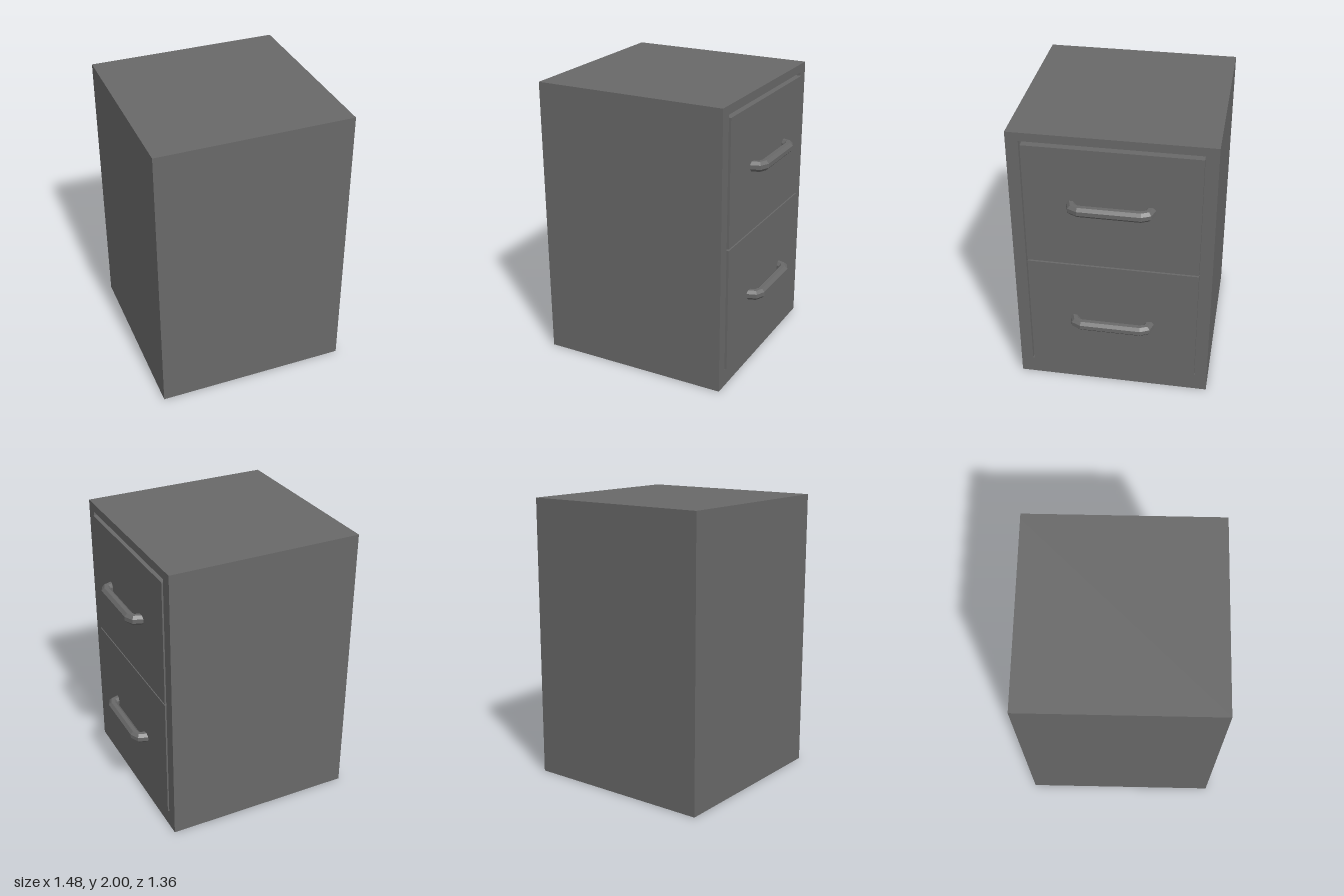
import * as THREE from 'three';

const FACE = 0.62;      // cabinet face that holds the drawers (+x)
const RECESS = 0.58;    // back of the drawer opening

// Box given by its minimum and maximum corners
function box(name, min, max, material) {
  const size = max.map((v, i) => v - min[i]);
  const mesh = new THREE.Mesh(new THREE.BoxGeometry(...size), material);
  mesh.position.set(...max.map((v, i) => (v + min[i]) / 2));
  mesh.name = name;
  return mesh;
}

// Eight-sided bar swept through rings given as outer and inner [x, z] points
function handleGeometry() {
  const half = [
    [0.637, 0.295, 0.645, 0.226],
    [0.705, 0.273, 0.662, 0.22],
    [0.735, 0.21, 0.668, 0.2],
  ];
  const rings = [...half, ...half.map(([a, b, c, d]) => [a, -b, c, -d]).reverse()];
  const sides = 8;
  const k = 1 / Math.cos(Math.PI / sides);
  const point = (r, i) => {
    const [ox, oz, ix, iz] = rings[r];
    const a = ((i + 0.5) / sides) * Math.PI * 2;
    const c = (Math.cos(a) * k) / 2;
    return [(ox + ix) / 2 + c * (ox - ix), Math.sin(a) * k * 0.035, (oz + iz) / 2 + c * (oz - iz)];
  };
  const positions = [];
  const tri = (...points) => points.forEach((p) => positions.push(...p));
  const last = rings.length - 1;
  for (let i = 0; i < sides; i++) {
    for (let r = 0; r < last; r++) {
      const a = point(r, i), b = point(r, i + 1), c = point(r + 1, i + 1), d = point(r + 1, i);
      tri(a, c, b);
      tri(a, d, c);
    }
    // End caps
    if (i > 0 && i < sides - 1) {
      tri(point(0, 0), point(0, i), point(0, i + 1));
      tri(point(last, 0), point(last, i + 1), point(last, i));
    }
  }
  const geometry = new THREE.BufferGeometry();
  geometry.setAttribute('position', new THREE.Float32BufferAttribute(positions, 3));
  geometry.computeVertexNormals();
  return geometry;
}

export function createModel() {
  const model = new THREE.Group();
  model.name = 'drawerCabinet';
  const grey = new THREE.MeshStandardMaterial({ color: 0x686868 });
  grey.name = 'grey';

  // Cabinet body behind the opening
  const cabinet = new THREE.Group();
  cabinet.name = 'cabinet';
  cabinet.add(box('body', [-0.74, 0, -0.68], [RECESS, 2, 0.68], grey));

  // Face frame with the opening cut out; shape x becomes -z
  const shape = new THREE.Shape();
  shape.moveTo(-0.68, 0).lineTo(0.68, 0).lineTo(0.68, 2).lineTo(-0.68, 2).closePath();
  const opening = new THREE.Path();
  opening.moveTo(-0.595, 0.125).lineTo(-0.595, 1.94).lineTo(0.592, 1.94).lineTo(0.592, 0.125).closePath();
  shape.holes.push(opening);
  const frame = new THREE.Mesh(
    new THREE.ExtrudeGeometry(shape, { depth: FACE - RECESS, bevelEnabled: false }), grey);
  frame.rotation.y = Math.PI / 2;
  frame.position.x = RECESS;
  frame.name = 'faceFrame';
  cabinet.add(frame);
  model.add(cabinet);

  // Two drawers, each with a bar handle
  const handle = handleGeometry();
  const drawers = [
    ['lowerDrawer', 0.127, 1.016, 0.56],
    ['upperDrawer', 1.027, 1.917, 1.505],
  ];
  for (const [name, bottom, top, handleY] of drawers) {
    const drawer = new THREE.Group();
    drawer.name = name;
    drawer.add(box('drawerFront', [RECESS, bottom, -0.59], [0.63, top, 0.583], grey));
    const bar = new THREE.Mesh(handle, grey);
    bar.position.y = handleY;
    bar.name = 'handle';
    drawer.add(bar);
    model.add(drawer);
  }
  return model;
}
